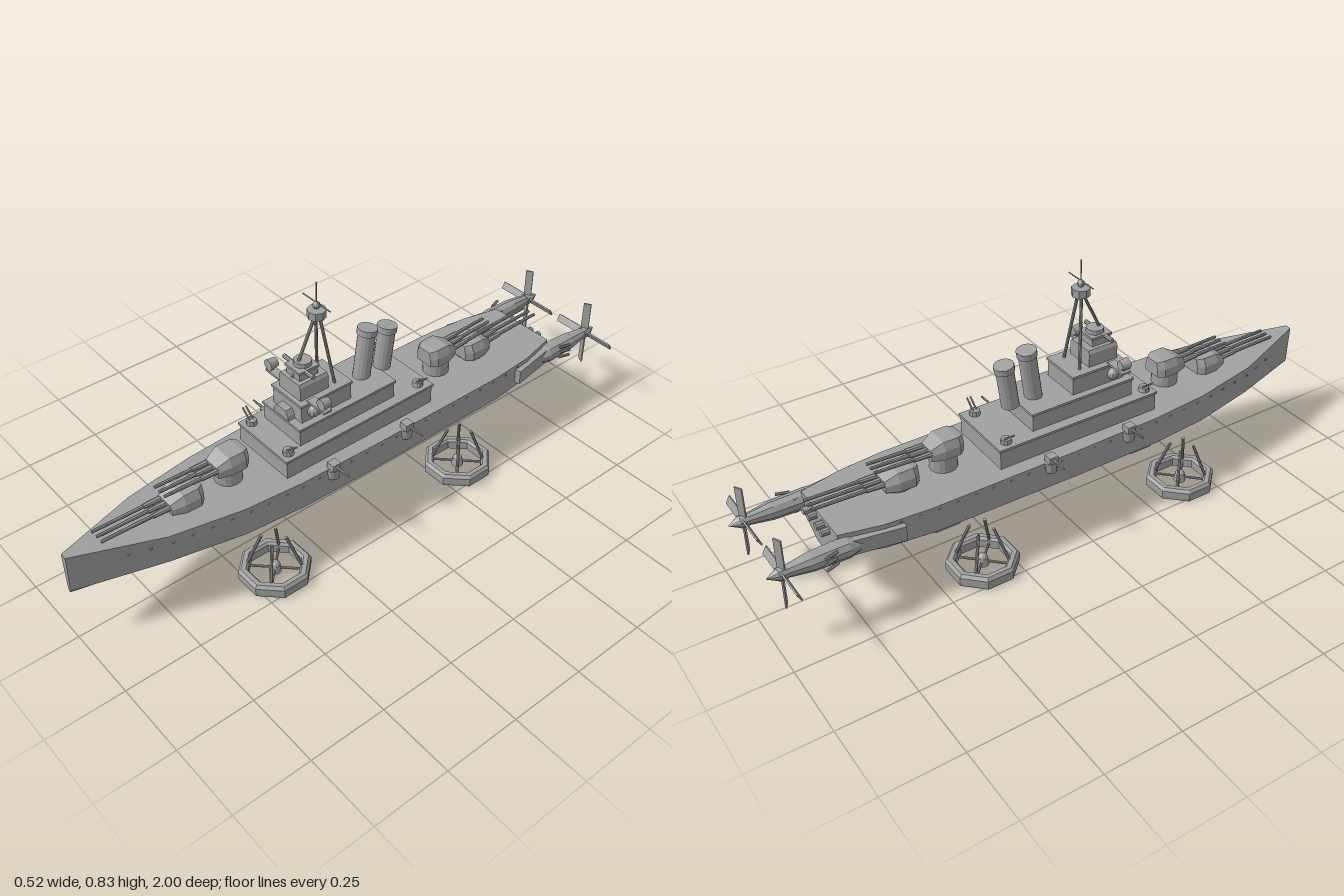
import * as THREE from 'three';

const steel = new THREE.MeshStandardMaterial({ color: 0xa0a0a0, flatShading: true });
steel.name = 'steel grey';
const V = (x, y, z) => new THREE.Vector3(x, y, z);

function add(parent, name, geo, x = 0, y = 0, z = 0) {
  const m = new THREE.Mesh(geo, steel);
  m.name = name;
  m.position.set(x, y, z);
  parent.add(m);
  return m;
}

const box = (p, name, w, h, d, x, y, z) => add(p, name, new THREE.BoxGeometry(w, h, d), x, y, z);

// Cylinder or cone between two points
function rod(p, name, a, b, r0, r1 = r0, sides = 8) {
  const dir = b.clone().sub(a);
  const m = add(p, name, new THREE.CylinderGeometry(r1, r0, dir.length(), sides));
  m.position.copy(a).add(b).multiplyScalar(0.5);
  m.quaternion.setFromUnitVectors(V(0, 1, 0), dir.normalize());
  return m;
}

// Six-sided sections, back to front: z, top half width, top y, knuckle half width, knuckle y, bottom half width, bottom y
function loft(sections) {
  const rings = sections.map(([z, tw, ty, kw, ky, bw, by]) => [
    V(-tw, ty, z), V(-kw, ky, z), V(-bw, by, z), V(bw, by, z), V(kw, ky, z), V(tw, ty, z)]);
  const pts = [];
  for (let i = 0; i + 1 < rings.length; i++) {
    const a = rings[i], b = rings[i + 1];
    for (let j = 0; j < 6; j++) {
      const k = (j + 1) % 6;
      pts.push(a[j], a[k], b[k], a[j], b[k], b[j]);
    }
  }
  const back = rings[0], front = rings[rings.length - 1];
  for (let j = 1; j < 5; j++) {
    pts.push(front[0], front[j], front[j + 1], back[0], back[j + 1], back[j]);
  }
  const g = new THREE.BufferGeometry().setFromPoints(pts);
  g.computeVertexNormals();
  return g;
}

const hullSections = [
  [-0.78, 0.12, 0.29, 0.12, 0.215, 0.035, 0.165],
  [-0.65, 0.15, 0.29, 0.153, 0.21, 0.042, 0.143],
  [-0.5, 0.163, 0.292, 0.168, 0.208, 0.045, 0.134],
  [0, 0.165, 0.295, 0.17, 0.206, 0.046, 0.126],
  [0.3, 0.16, 0.296, 0.166, 0.206, 0.046, 0.13],
  [0.5, 0.145, 0.299, 0.149, 0.207, 0.044, 0.137],
  [0.73, 0.105, 0.307, 0.1, 0.208, 0.034, 0.152],
  [1, 0.011, 0.325, 0.007, 0.194, 0.003, 0.187]];

// Hull half width at the deck edge for a given z
function deckHalf(z) {
  const i = Math.max(1, hullSections.findIndex(s => s[0] >= z));
  const a = hullSections[i - 1], b = hullSections[i];
  return a[1] + (b[1] - a[1]) * (z - a[0]) / (b[0] - a[0]);
}

// Triple-gun turret facing +z
function turret(parent, name, z, y, dir, w, barrelEnd, barbetteBase) {
  const g = new THREE.Group();
  g.name = name;
  g.position.set(0, y, z);
  if (dir < 0) g.rotation.y = Math.PI;
  parent.add(g);
  const h = y - barbetteBase + 0.01;
  add(g, 'barbette', new THREE.CylinderGeometry(w * 0.9, w * 0.9, h, 16), 0, 0.01 - h / 2, 0);
  add(g, 'gunHouse', loft([
    [-0.055, w * 0.5, 0.05, w * 0.65, 0.025, w * 0.65, 0],
    [-0.035, w * 0.75, 0.055, w, 0.03, w, 0],
    [0.015, w * 0.75, 0.055, w, 0.03, w, 0],
    [0.055, w * 0.55, 0.034, w * 0.7, 0.02, w * 0.7, 0]]));
  for (const x of [-0.025, 0, 0.025]) {
    rod(g, 'barrelSleeve', V(x, 0.022, 0.03), V(x, 0.025, 0.11), 0.01, 0.008);
    rod(g, 'barrel', V(x, 0.025, 0.1), V(x, 0.03, barrelEnd), 0.006, 0.005);
  }
}

// Octagonal lift fan with its struts
function liftFan(parent, x, z) {
  const g = new THREE.Group();
  g.name = 'liftFan';
  g.position.set(x, 0, z);
  parent.add(g);
  const prof = [[0.112, 0], [0.1135, 0.008], [0.1135, 0.03], [0.105, 0.04], [0.09, 0.04], [0.083, 0.032], [0.083, 0.004], [0.09, 0], [0.112, 0]];
  add(g, 'fanRing', new THREE.LatheGeometry(prof.map(p => new THREE.Vector2(...p)), 8, Math.PI / 8));
  add(g, 'fanHub', new THREE.CylinderGeometry(0.016, 0.02, 0.026, 12), 0, 0.02, 0);
  add(g, 'fanCap', new THREE.SphereGeometry(0.016, 12, 8), 0, 0.03, 0);
  for (let i = 0; i < 4; i++) {
    const a = Math.PI / 4 + i * Math.PI / 2, c = Math.cos(a), s = Math.sin(a);
    rod(g, 'fanSpoke', V(0, 0.02, 0), V(c * 0.088, 0.02, s * 0.088), 0.004);
    rod(g, 'fanStrut', V(c * 0.082, 0.036, s * 0.082), V(c * 0.037, 0.148, s * 0.037), 0.005);
  }
}

// Rear nacelle with four-bladed propeller
function engine(parent, s) {
  const g = new THREE.Group();
  g.name = 'engine';
  parent.add(g);
  const x = s * 0.135, y = 0.25;
  rod(g, 'nacelle', V(x, y, -0.76), V(x, y, -0.87), 0.032, 0.029, 10);
  rod(g, 'nacelleTail', V(x, y, -0.87), V(x, y, -0.945), 0.029, 0.018, 10);
  rod(g, 'nacelleNose', V(x, y, -0.7), V(x, y, -0.76), 0.014, 0.032, 10);
  rod(g, 'propellerHub', V(x, y, -0.942), V(x, y, -0.968), 0.02, 0.02, 10);
  rod(g, 'spinner', V(x, y, -0.968), V(x, y, -1), 0.018, 0.001, 10);
  const mount = box(g, 'engineMount', 0.025, 0.05, 0.22, s * 0.145, y, -0.7);
  mount.rotation.y = s * 0.17;
  for (const dy of [-0.02, 0, 0.02]) {
    rod(g, 'exhaustPipe', V(x + s * 0.025, y + dy, -0.8), V(x + s * 0.038, y + dy, -0.84), 0.005);
  }
  for (let i = 0; i < 4; i++) {
    const arm = new THREE.Group();
    arm.name = 'propellerBlade';
    arm.position.set(x, y, -0.955);
    arm.rotation.z = i * Math.PI / 2;
    g.add(arm);
    box(arm, 'blade', 0.026, 0.1, 0.005, 0, 0.067, 0).rotation.y = 0.5;
  }
}

// Deckhouse block with a thin overhanging roof edge
function deckhouse(parent, name, half, y0, y1, z0, z1) {
  const d = z1 - z0, z = (z0 + z1) / 2;
  box(parent, name, half * 2 - 0.008, y1 - y0, d - 0.008, 0, (y0 + y1) / 2, z);
  box(parent, name + 'Roof', half * 2, 0.008, d, 0, y1 - 0.004, z);
}

export function createModel() {
  const ship = new THREE.Group();
  ship.name = 'flyingWarship';
  add(ship, 'hull', loft(hullSections));

  // Stepped superstructure
  deckhouse(ship, 'casemate', 0.12, 0.28, 0.363, -0.25, 0.33);
  deckhouse(ship, 'upperHouse', 0.091, 0.36, 0.425, -0.118, 0.257);
  deckhouse(ship, 'bridgeBase', 0.072, 0.42, 0.49, 0.04, 0.235);
  add(ship, 'bridgeTower', loft([
    [0.115, 0.044, 0.545, 0.05, 0.535, 0.05, 0.485],
    [0.22, 0.044, 0.545, 0.05, 0.535, 0.05, 0.485]]));
  deckhouse(ship, 'bridgeTop', 0.035, 0.54, 0.577, 0.135, 0.21);
  add(ship, 'director', new THREE.CylinderGeometry(0.028, 0.028, 0.02, 12), 0, 0.582, 0.17);
  rod(ship, 'rangefinder', V(-0.07, 0.572, 0.185), V(0.07, 0.572, 0.185), 0.007);
  add(ship, 'conningTower', loft([
    [0.22, 0.022, 0.456, 0.032, 0.44, 0.036, 0.422],
    [0.255, 0.022, 0.456, 0.032, 0.44, 0.036, 0.422]]));

  // Tripod mast with lookout
  rod(ship, 'mastLeg', V(0, 0.54, 0.21), V(0, 0.725, 0.12), 0.005);
  for (const s of [-1, 1]) rod(ship, 'mastLeg', V(s * 0.042, 0.488, 0.085), V(s * 0.008, 0.725, 0.112), 0.005);
  add(ship, 'lookout', new THREE.CylinderGeometry(0.029, 0.029, 0.026, 8), 0, 0.731, 0.115);
  add(ship, 'mastCap', new THREE.SphereGeometry(0.012, 10, 8), 0, 0.757, 0.115);
  rod(ship, 'topmast', V(0, 0.76, 0.115), V(0, 0.835, 0.115), 0.002);
  rod(ship, 'yard', V(-0.063, 0.766, 0.115), V(0.063, 0.766, 0.115), 0.002);

  // Raked funnels
  for (const [z, top] of [[-0.055, 0.592], [-0.138, 0.567]]) {
    const end = z - (top - 0.42) * 0.14;
    rod(ship, 'funnel', V(0, 0.42, z), V(0, top, end), 0.028, 0.028, 16);
    rod(ship, 'funnelCap', V(0, top - 0.02, end + 0.003), V(0, top, end), 0.032, 0.032, 16);
  }

  // Main guns
  turret(ship, 'foreLowerTurret', 0.62, 0.302, 1, 0.055, 0.275, 0.29);
  turret(ship, 'foreUpperTurret', 0.455, 0.345, 1, 0.048, 0.232, 0.28);
  turret(ship, 'aftLowerTurret', -0.53, 0.3, -1, 0.055, 0.28, 0.28);
  turret(ship, 'aftUpperTurret', -0.375, 0.345, -1, 0.048, 0.235, 0.28);

  for (const s of [-1, 1]) {
    engine(ship, s);
    liftFan(ship, s * 0.157, 0.415);
    liftFan(ship, s * 0.157, -0.343);

    // Side guns on hull sponsons
    for (const z of [0.19, -0.1]) {
      add(ship, 'sponson', new THREE.CylinderGeometry(0.024, 0.02, 0.035, 12), s * 0.16, 0.277, z);
      box(ship, 'sideGunMount', 0.03, 0.022, 0.03, s * 0.165, 0.305, z);
      rod(ship, 'sideGun', V(s * 0.17, 0.307, z), V(s * 0.235, 0.307, z), 0.005, 0.003);
    }

    // Angled light guns on the casemate roof
    for (const z of [0.3, -0.21]) {
      add(ship, 'lightGunBase', new THREE.CylinderGeometry(0.016, 0.018, 0.016, 10), s * 0.09, 0.37, z);
      for (const dz of [-0.006, 0.006]) {
        rod(ship, 'lightGun', V(s * 0.085, 0.372, z + dz), V(s * 0.125, 0.405, z + dz), 0.003);
      }
    }

    // Searchlights on bridge wings, and side directors
    box(ship, 'bridgeWing', 0.08, 0.007, 0.03, s * 0.1, 0.49, 0.19);
    rod(ship, 'searchlight', V(s * 0.125, 0.514, 0.175), V(s * 0.125, 0.514, 0.205), 0.015, 0.019, 12);
    box(ship, 'searchlightStand', 0.01, 0.014, 0.01, s * 0.125, 0.497, 0.19);
    add(ship, 'sideDirector', new THREE.SphereGeometry(0.02, 10, 8), s * 0.072, 0.455, 0.19);

    // Stern tubes
    for (const x of [0.025, 0.06]) rod(ship, 'sternTube', V(s * x, 0.268, -0.76), V(s * x, 0.268, -0.805), 0.012, 0.012, 10);

    // Portholes below the deck edge
    for (let z = -0.6; z < 0.9; z += 0.06) {
      box(ship, 'porthole', 0.005, 0.005, 0.008, s * (deckHalf(z) + 0.0005), 0.28, z);
    }
  }
  return ship;
}
